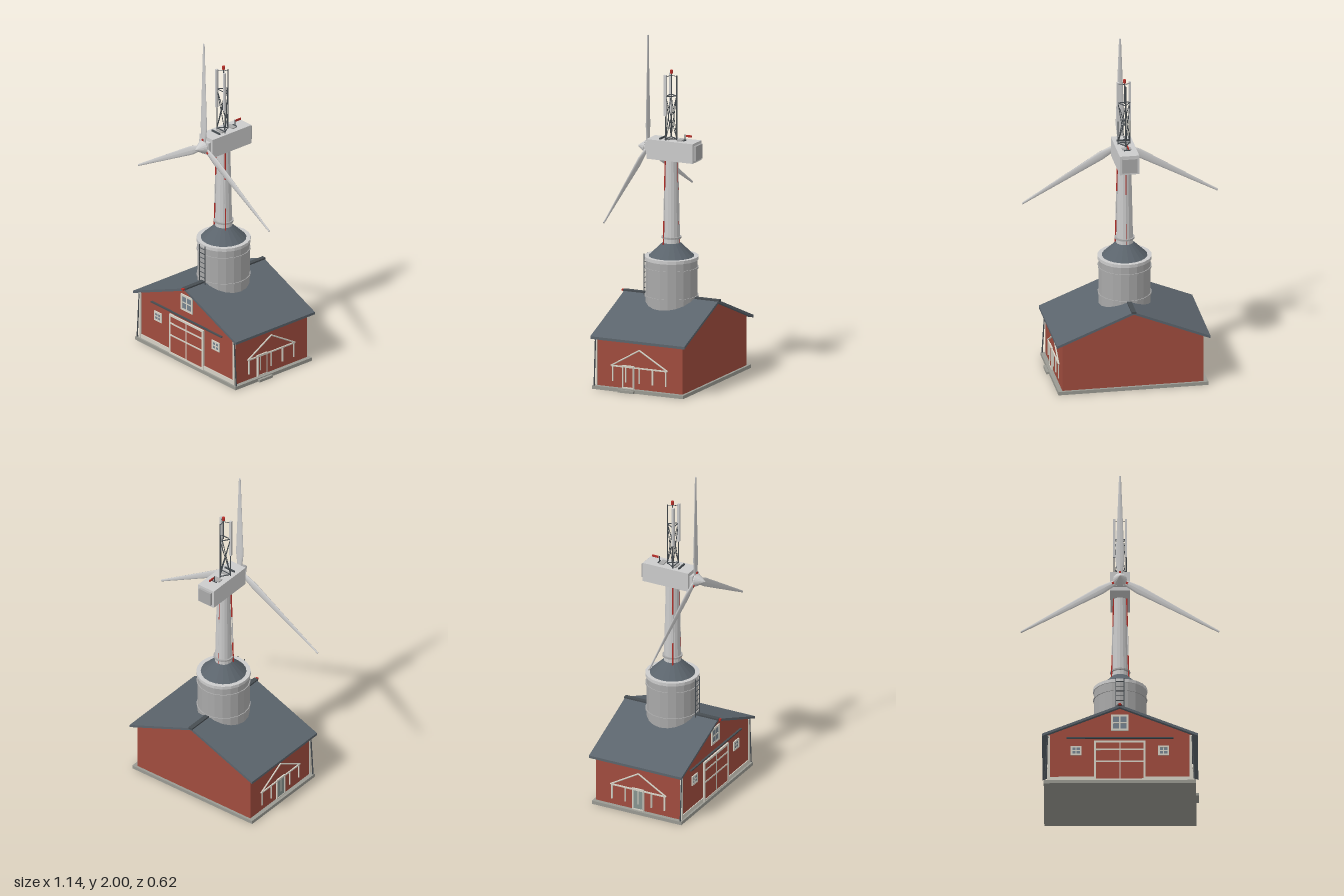
import * as THREE from 'three';

const mat = (color, flatShading = false) => new THREE.MeshStandardMaterial({ color, flatShading });
const M = {
  grey: mat(0xcccccc), flatGrey: mat(0xcccccc, true), steel: mat(0xa9a9a9, true), red: mat(0xa04c3e), signal: mat(0xb8302a),
  roof: mat(0x5b646c, true), dark: mat(0x474d52), trim: mat(0xd6d2c6), glass: mat(0x76838f),
  base: mat(0x9a9a92), green: mat(0x87938f),
};

function add(parent, name, geo, m, x = 0, y = 0, z = 0) {
  const mesh = new THREE.Mesh(geo, m);
  mesh.name = name;
  mesh.position.set(x, y, z);
  parent.add(mesh);
  return mesh;
}
const box = (p, name, m, w, h, d, x, y, z) => add(p, name, new THREE.BoxGeometry(w, h, d), m, x, y, z);
const cyl = (p, name, m, r1, r0, y0, y1, z = 0, n = 20, open = false) =>
  add(p, name, new THREE.CylinderGeometry(r1, r0, y1 - y0, n, 1, open), m, 0, (y0 + y1) / 2, z);

// Straight round bar between two points
function rod(p, name, m, a, b, r) {
  const A = new THREE.Vector3(...a), B = new THREE.Vector3(...b), d = B.clone().sub(A);
  const mesh = add(p, name, new THREE.CylinderGeometry(r, r, d.length(), 6), m);
  mesh.position.copy(A).lerp(B, 0.5);
  mesh.quaternion.setFromUnitVectors(new THREE.Vector3(0, 1, 0), d.normalize());
  return mesh;
}

function prism(points, z0, z1) {
  const shape = new THREE.Shape(points.map(([x, y]) => new THREE.Vector2(x, y)));
  return new THREE.ExtrudeGeometry(shape, { depth: z1 - z0, bevelEnabled: false }).translate(0, 0, z0);
}

// Rectangular frame facing +z, centred on its own origin
function frame(p, name, m, w, h, t, x, y, z) {
  const g = new THREE.Group();
  g.name = name;
  g.position.set(x, y, z);
  for (const s of [-1, 1]) {
    box(g, 'stile', m, t, h, 0.01, s * (w - t) / 2, 0, 0);
    box(g, 'rail', m, w, t, 0.01, 0, s * (h - t) / 2, 0);
  }
  p.add(g);
  return g;
}

function windowUnit(p, name, w, h, t, x, y, z) {
  const g = frame(p, name, M.trim, w, h, t, x, y, z);
  box(g, 'pane', M.glass, w - t, h - t, 0.005, 0, 0, 0);
  box(g, 'mullion', M.trim, t * 0.6, h, 0.008, 0, 0, 0);
  box(g, 'glazingBar', M.trim, w, t * 0.6, 0.008, 0, 0, 0);
}

// Porch outline on a side wall, drawn facing +z and turned to the wall
function porch(p, side) {
  const g = new THREE.Group();
  g.name = side > 0 ? 'leftPorch' : 'rightPorch';
  g.position.set(side * 0.413, 0, -0.005);
  g.rotation.y = side * Math.PI / 2;
  for (const s of [-1, 1]) rod(g, 'rafter', M.trim, [s * 0.18, 0.145, 0], [0, 0.25, 0], 0.005);
  box(g, 'beam', M.trim, 0.35, 0.008, 0.008, 0, 0.145, 0);
  for (const x of [-0.17, -0.085, 0, 0.085, 0.17]) box(g, 'post', M.trim, 0.007, 0.09, 0.008, x, 0.1, 0);
  const dx = side > 0 ? -0.07 : 0;
  frame(g, 'sideDoorFrame', M.trim, 0.075, 0.135, 0.008, dx, 0.0875, 0.001);
  box(g, 'sideDoor', side > 0 ? M.red : M.green, 0.065, 0.125, 0.006, dx, 0.085, 0);
  if (side > 0) box(g, 'doorStep', M.base, 0.1, 0.015, 0.035, dx, 0.0075, 0.02);
  p.add(g);
}

function makeBarn() {
  const g = new THREE.Group();
  g.name = 'barn';
  box(g, 'foundation', M.base, 0.87, 0.02, 0.58, 0, 0.01, -0.005);
  add(g, 'walls', prism([[-0.41, 0.02], [0.41, 0.02], [0.41, 0.309], [0, 0.475], [-0.41, 0.309]], -0.28, 0.27), M.red);
  add(g, 'roof', prism([[-0.445, 0.295], [0, 0.475], [0.445, 0.295], [0.445, 0.31], [0, 0.49], [-0.445, 0.31]], -0.308, 0.292), M.roof);
  box(g, 'ridgeCap', M.dark, 0.026, 0.012, 0.61, 0, 0.488, -0.008);
  box(g, 'hoistBeam', M.signal, 0.016, 0.01, 0.03, 0, 0.488, 0.295);
  // Front trim and downpipes
  box(g, 'skirtTrim', M.trim, 0.82, 0.025, 0.01, 0, 0.033, 0.27);
  for (const s of [-1, 1]) {
    box(g, 'cornerTrim', M.trim, 0.014, 0.285, 0.012, s * 0.405, 0.163, 0.27);
    rod(g, 'downpipe', M.dark, [s * 0.412, 0.3, 0.275], [s * 0.43, 0.01, 0.275], 0.004);
    windowUnit(g, 'smallWindow', 0.064, 0.058, 0.01, s * 0.25, 0.21, 0.272);
    porch(g, s);
  }
  windowUnit(g, 'loftWindow', 0.1, 0.1, 0.012, 0, 0.385, 0.272);
  // Sliding door
  const door = frame(g, 'barnDoor', M.trim, 0.295, 0.25, 0.012, 0, 0.145, 0.276);
  box(door, 'doorPanel', M.red, 0.285, 0.24, 0.008, 0, 0, -0.002);
  for (const y of [-0.005, 0.07]) box(door, 'doorBar', M.trim, 0.29, 0.009, 0.01, 0, y, 0);
  box(door, 'doorCentre', M.trim, 0.007, 0.24, 0.009, 0, 0, 0);
  box(g, 'doorRail', M.dark, 0.61, 0.007, 0.012, 0, 0.288, 0.276);
  return g;
}

function makeSilo() {
  const g = new THREE.Group();
  g.name = 'silo';
  g.position.z = -0.005;
  cyl(g, 'siloBody', M.steel, 0.15, 0.15, 0.3, 0.72);
  cyl(g, 'siloRim', M.flatGrey, 0.156, 0.156, 0.703, 0.722);
  for (const y of [0.655, 0.49]) cyl(g, 'siloBand', M.steel, 0.155, 0.155, y - 0.005, y + 0.005);
  cyl(g, 'siloCone', M.roof, 0.05, 0.133, 0.72, 0.8);
  for (const s of [-1, 1]) rod(g, 'ladderRail', M.dark, [s * 0.024, 0.44, 0.163], [s * 0.024, 0.72, 0.163], 0.003);
  for (let i = 0; i < 9; i++) rod(g, 'ladderRung', M.dark, [-0.024, 0.46 + i * 0.03, 0.163], [0.024, 0.46 + i * 0.03, 0.163], 0.002);
  return g;
}

// Three-legged mast: corner of the triangle at a height
function leg(i, y) {
  const k = 1 + Math.max(0, 1.4 - y) * 0.65;
  const [x, z] = [[-0.035, 0.015], [0.035, 0.015], [0, -0.038]][i];
  return [x * k, y, (z + 0.005) * k - 0.005];
}

function makeTower() {
  const g = new THREE.Group();
  g.name = 'tower';
  cyl(g, 'towerShaft', M.flatGrey, 0.038, 0.05, 0.78, 1.3, -0.005, 16);
  cyl(g, 'towerCollar', M.steel, 0.058, 0.058, 0.826, 0.836, -0.005, 16);
  const cuts = [[0.79, 0.93, M.signal], [0.93, 1.11, M.grey], [1.11, 1.29, M.signal], [1.4, 1.67, M.dark], [1.67, 1.78, M.dark]];
  for (let i = 0; i < 3; i++) {
    for (const [a, b, m] of cuts) rod(g, 'mastLeg', m, leg(i, a), leg(i, b), 0.004);
    // Lattice bracing above the nacelle
    const j = (i + 1) % 3;
    rod(g, 'crossBrace', M.dark, leg(i, 1.41), leg(j, 1.66), 0.0025);
    rod(g, 'crossBrace', M.dark, leg(j, 1.41), leg(i, 1.66), 0.0025);
    for (const y of [1.41, 1.66]) rod(g, 'mastTie', M.dark, leg(i, y), leg(j, y), 0.003);
  }
  for (const s of [-1, 1]) box(g, 'antennaPanel', M.grey, 0.013, 0.24, 0.014, s * 0.034, 1.665, 0.018);
  rod(g, 'beaconPost', M.dark, [0, 1.66, -0.005], [0, 1.79, -0.005], 0.003);
  for (let i = 0; i < 3; i++) rod(g, 'beaconArm', M.dark, leg(i, 1.775), [0, 1.78, -0.005], 0.002);
  add(g, 'beacon', new THREE.CylinderGeometry(0.009, 0.009, 0.02, 10), M.signal, 0, 1.8, -0.005);
  return g;
}

function makeNacelle() {
  const g = new THREE.Group();
  g.name = 'nacelle';
  box(g, 'housing', M.grey, 0.113, 0.115, 0.295, 0, 1.345, -0.02);
  box(g, 'rearPanel', M.steel, 0.085, 0.085, 0.02, 0, 1.345, -0.172);
  for (const z of [-0.065, 0.015]) box(g, 'vent', M.steel, 0.052, 0.008, 0.03, 0, 1.405, z);
  box(g, 'handrail', M.dark, 0.07, 0.01, 0.008, 0, 1.407, 0.053);
  box(g, 'sensorBar', M.dark, 0.036, 0.006, 0.005, 0, 1.404, -0.09);
  rod(g, 'vanePost', M.dark, [0, 1.4, -0.09], [0, 1.44, -0.09], 0.003);
  box(g, 'windVane', M.signal, 0.005, 0.012, 0.038, 0, 1.433, -0.116);
  box(g, 'bearingBlock', M.grey, 0.08, 0.07, 0.02, 0, 1.345, 0.135);
  return g;
}

// Cylinder reshaped into a thin tapering blade
function bladeGeometry() {
  const geo = new THREE.CylinderGeometry(1, 1, 0.635, 10, 12).translate(0, 0.3375, 0);
  const p = geo.attributes.position;
  for (let i = 0; i < p.count; i++) {
    const y = p.getY(i), t = Math.min(1, Math.max(0, (y - 0.02) / 0.1));
    const halfWidth = y < 0.12 ? 0.014 + 0.013 * t : THREE.MathUtils.mapLinear(y, 0.12, 0.655, 0.027, 0.006);
    const halfDepth = THREE.MathUtils.lerp(0.009, 0.004, Math.min(1, y / 0.35));
    p.setX(i, p.getX(i) * halfWidth);
    p.setZ(i, p.getZ(i) * halfDepth);
  }
  geo.computeVertexNormals();
  return geo;
}

function makeRotor() {
  const g = new THREE.Group();
  g.name = 'rotor';
  g.position.set(0, 1.345, 0.145);
  const profile = [[0, -0.02], [0.033, -0.02], [0.036, 0.008], [0.04, 0.008], [0.026, 0.03], [0.012, 0.05], [0, 0.064]];
  const hub = new THREE.LatheGeometry(profile.map(([r, y]) => new THREE.Vector2(r, y)), 16).rotateX(Math.PI / 2);
  add(g, 'spinner', hub, M.flatGrey);
  const blade = bladeGeometry();
  for (let i = 0; i < 3; i++) {
    const arm = new THREE.Group();
    arm.name = 'bladeArm';
    arm.rotation.z = i * Math.PI * 2 / 3;
    add(arm, 'blade', blade, M.grey);
    box(arm, 'rootMark', M.signal, 0.012, 0.012, 0.012, 0, 0.046, 0.005);
    g.add(arm);
  }
  return g;
}

export function createModel() {
  const model = new THREE.Group();
  model.name = 'barnWithWindTurbine';
  model.add(makeBarn(), makeSilo(), makeTower(), makeNacelle(), makeRotor());
  return model;
}
